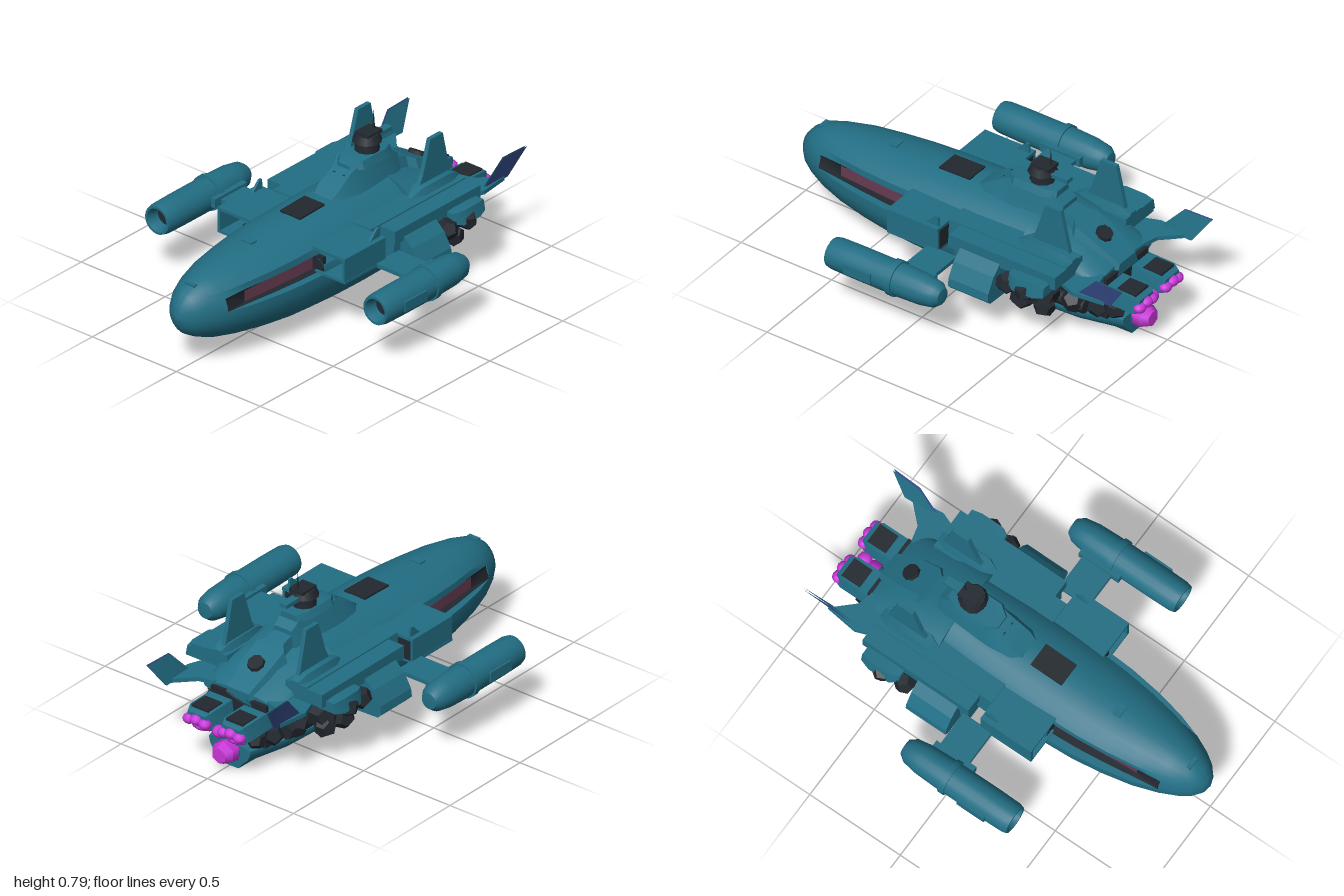
import * as THREE from 'three';
import { toCreasedNormals } from 'three/addons/utils/BufferGeometryUtils.js';

const paint = (name, color) => {
  const m = new THREE.MeshStandardMaterial({ color, side: THREE.DoubleSide });
  m.name = name;
  return m;
};

export function createModel() {
  const model = new THREE.Group();
  model.name = 'spaceship';
  const teal = paint('teal hull', 0x226e84);
  const dark = paint('dark machinery', 0x22282f);
  const magenta = paint('magenta glow', 0xc936da);
  const blue = paint('blue panel', 0x374c8b);
  const maroon = paint('maroon recess', 0x673b51);

  const add = (name, geo, mat, x = 0, y = 0, z = 0) => {
    const mesh = new THREE.Mesh(geo, mat);
    mesh.name = name;
    mesh.position.set(x, y, z);
    model.add(mesh);
    return mesh;
  };
  // box given by its limits
  const box = (name, mat, x0, x1, y0, y1, z0, z1) =>
    add(name, new THREE.BoxGeometry(Math.abs(x1 - x0), y1 - y0, z1 - z0), mat,
      (x0 + x1) / 2, (y0 + y1) / 2, (z0 + z1) / 2);
  const rod = (r0, r1, len, sides) => new THREE.CylinderGeometry(r0, r1, len, sides).rotateX(Math.PI / 2);
  const outline = (pts, s = 1) => new THREE.Shape(pts.map(([x, y]) => new THREE.Vector2(s * x, y)));
  const extrude = (shape, depth) => new THREE.ExtrudeGeometry(shape, { depth, bevelEnabled: false });

  // skin over rows of points running from front to back
  const skin = (rows, closed, skip = () => false, crease = 0.6) => {
    const n = rows[0].length, index = [];
    for (let i = 0; i < rows.length - 1; i++) {
      for (let j = 0; j < (closed ? n : n - 1); j++) {
        if (skip(i, j)) continue;
        const a = i * n + j, b = i * n + (j + 1) % n, c = a + n, d = b + n;
        index.push(a, c, b, b, c, d);
      }
    }
    const geo = new THREE.BufferGeometry();
    geo.setAttribute('position', new THREE.Float32BufferAttribute(rows.flat(2), 3));
    geo.setIndex(index);
    return toCreasedNormals(geo, crease);
  };
  const capped = (rows) => {
    const centre = (row) => {
      const c = [0, 1, 2].map((k) => row.reduce((s, p) => s + p[k], 0) / row.length);
      return row.map(() => c);
    };
    return [centre(rows[0]), ...rows, centre(rows[rows.length - 1])];
  };
  // egg-shaped section: z, half width, top, bottom, widest height
  const N = 32;
  const ring = ([z, w, top, bot, mid = 0.27]) => Array.from({ length: N }, (_, j) => {
    const a = (j + 0.5) * 2 * Math.PI / N, s = Math.sin(a);
    return [w * Math.cos(a), mid + s * (s > 0 ? top - mid : mid - bot), z];
  });
  // block whose sections change along z: z, bottom half width, top half width, bottom, top
  const block = (name, mat, sections, x = 0) => add(name, skin(capped(sections.map(
    ([z, wb, wt, y0, y1]) => [[wb, y0, z], [wt, y1, z], [-wt, y1, z], [-wb, y0, z]])), true), mat, x);
  // thin plate from a side outline in (z, y)
  const plate = (name, mat, pts, thick, x) =>
    add(name, extrude(outline(pts), thick).rotateY(-Math.PI / 2).translate(thick / 2, 0, 0), mat, x);

  // main hull with a slot left open along each side of the bow, its upper lip drawn in
  const hull = [
    [1, 0.004, 0.275, 0.265], [0.985, 0.045, 0.33, 0.215], [0.95, 0.085, 0.375, 0.175],
    [0.9, 0.118, 0.41, 0.145], [0.82, 0.155, 0.432, 0.112], [0.7, 0.195, 0.45, 0.085],
    [0.55, 0.226, 0.46, 0.06], [0.4, 0.246, 0.47, 0.042], [0.27, 0.253, 0.477, 0.034],
    [0.1, 0.257, 0.483, 0.024], [-0.1, 0.255, 0.488, 0.02], [-0.35, 0.24, 0.49, 0.018],
  ].map(ring);
  for (const row of hull.slice(5, 9)) for (const j of [2, 13]) row[j][0] *= 0.89;
  const slotAt = [0, 1, 13, 14];
  add('hull', skin(capped(hull), true, (i, j) => i >= 5 && i < 9 && slotAt.includes(j)), teal);
  const panelX = [0.15, 0.146, 0.158, 0.17, 0.178];
  for (const [j0, j1, s] of [[0, 2, 1], [15, 13, -1]]) {
    const slot = hull.slice(4, 9).map((row, i) => {
      const [p, q] = [row[j0], row[j1]], x = i ? s * panelX[i] : p[0];
      return [p, [(p[0] + x) / 2, p[1], p[2]], [x, p[1], p[2]], [i ? x : q[0], q[1] - 0.012, q[2]], q];
    });
    add('slotLedge', skin(slot, false, (i, j) => j !== 0), teal);
    add('slotWalls', skin(slot, false, (i, j) => j === 0 || (j === 2 && i > 0)), dark);
    add('slotPanel', skin(slot, false, (i, j) => j !== 2 || i === 0), maroon);
    box('slotEnd', dark, s * 0.17, s * 0.24, 0.287, 0.368, 0.25, 0.268);
  }

  // stern: upper shell, lower tray and the machinery core between them
  add('upperStern', skin(capped([
    [-0.35, 0.24, 0.49, 0.33, 0.36], [-0.62, 0.23, 0.43, 0.32, 0.35], [-0.76, 0.215, 0.35, 0.28, 0.31],
  ].map(ring)), true), teal);
  add('lowerStern', skin(capped([
    [-0.35, 0.21, 0.125, 0.015, 0.115], [-0.62, 0.19, 0.125, 0.012, 0.115], [-0.84, 0.12, 0.12, 0.012, 0.11],
  ].map(ring)), true), teal);
  box('machineryCore', dark, -0.16, 0.16, 0.115, 0.33, -0.78, -0.34);
  block('bellyPlate', teal, [[0.1, 0.06, 0.09, 0.012, 0.04], [-0.35, 0.06, 0.09, 0, 0.04], [-0.84, 0.05, 0.08, 0, 0.04]]);
  block('chinPlate', teal, [[0.7, 0.03, 0.05, 0.08, 0.11], [0.55, 0.05, 0.08, 0.055, 0.09], [0.4, 0.04, 0.07, 0.038, 0.07]]);

  // top hatch details
  const hatch = box('topWindow', dark, -0.06, 0.06, 0.479, 0.488, 0.05, 0.22);
  hatch.rotation.x = 0.03;
  box('bowHatch', teal, -0.03, 0.03, 0.462, 0.47, 0.48, 0.52);
  box('noseSensor', teal, -0.03, 0.03, 0.4, 0.412, 0.89, 0.91);

  // command tower
  block('towerBase', teal, [
    [0.0, 0.06, 0.05, 0.46, 0.485], [-0.04, 0.09, 0.06, 0.46, 0.51], [-0.14, 0.1, 0.055, 0.46, 0.57],
    [-0.2, 0.1, 0.06, 0.46, 0.585], [-0.4, 0.09, 0.055, 0.46, 0.585], [-0.46, 0.07, 0.05, 0.46, 0.54]]);
  block('towerCap', teal, [[-0.15, 0.04, 0.03, 0.57, 0.59], [-0.2, 0.08, 0.065, 0.57, 0.605],
    [-0.36, 0.08, 0.065, 0.57, 0.605], [-0.42, 0.05, 0.04, 0.57, 0.6]]);
  block('aftDeck', teal, [[-0.42, 0.06, 0.045, 0.44, 0.53], [-0.52, 0.07, 0.05, 0.42, 0.5],
    [-0.55, 0.11, 0.08, 0.41, 0.485], [-0.64, 0.11, 0.08, 0.37, 0.445], [-0.78, 0.08, 0.06, 0.3, 0.36]]);
  add('aftHatch', new THREE.CylinderGeometry(0.04, 0.045, 0.03, 8), dark, 0, 0.44, -0.65).rotation.x = -0.5;
  add('turretNeck', new THREE.CylinderGeometry(0.055, 0.06, 0.06, 10), dark, 0, 0.625, -0.31);
  add('turretHead', new THREE.CylinderGeometry(0.055, 0.07, 0.035, 10), dark, 0, 0.668, -0.31);
  box('turretTop', dark, -0.04, 0.04, 0.68, 0.695, -0.37, -0.27);
  box('turretArm', teal, -0.02, 0.02, 0.645, 0.665, -0.46, -0.36);
  add('antenna', new THREE.ConeGeometry(0.007, 0.1, 6), dark, 0, 0.74, -0.355);
  for (const x of [-0.028, 0.028]) add('towerPort', rod(0.014, 0.014, 0.01, 8), dark, x, 0.545, -0.12);

  // central thruster
  const ball = (name, x, y, z, rx, ry, rz) =>
    add(name, new THREE.IcosahedronGeometry(1, 1).scale(rx, ry, rz), magenta, x, y, z);
  add('thrusterCollar', rod(0.065, 0.06, 0.05, 8), teal, 0, 0.08, -0.82);
  add('mainGlow', rod(0.06, 0.06, 0.05, 6).scale(1.05, 0.95, 1), magenta, 0, 0.083, -0.86);
  add('mainGlowEnd', rod(0.06, 0.04, 0.035, 6).scale(1.05, 0.95, 1), magenta, 0, 0.083, -0.9025);
  ball('middleGlow', 0, 0.205, -0.91, 0.04, 0.03, 0.035);

  for (const s of [1, -1]) {
    // open-fronted hangar
    box('hangarRoof', teal, s * 0.16, s * 0.38, 0.398, 0.413, 0, 0.28);
    box('hangarFloor', teal, s * 0.2, s * 0.38, 0.285, 0.297, 0, 0.28);
    box('hangarWall', teal, s * 0.365, s * 0.378, 0.29, 0.405, 0, 0.28);
    box('hangarInside', dark, s * 0.2, s * 0.364, 0.298, 0.397, 0, 0.12);
    plate('hangarAerial', teal, [[0.08, 0.41], [0.03, 0.46], [0.015, 0.46], [0.01, 0.41]], 0.012, s * 0.35);

    // shoulder slab
    block('shoulderRoot', teal, [[0, 0.07, 0.06, 0.28, 0.42], [-0.65, 0.07, 0.06, 0.32, 0.42]], s * 0.23);
    box('shoulderSlab', teal, s * 0.2, s * 0.38, 0.345, 0.413, -0.65, -0.065);

    // side pods with sloping outer faces
    const pod = [[0.26, 0.2], [0.3, 0.185], [0.455, 0.19], [0.475, 0.21], [0.47, 0.25], [0.43, 0.32], [0.38, 0.365], [0.26, 0.365]];
    add('sidePod', extrude(outline(pod, s), 0.22), teal, 0, 0, -0.345);
    box('podMount', teal, s * 0.2, s * 0.36, 0.21, 0.35, -0.34, -0.08);
    block('aftPod', teal, [[-0.42, 0.04, 0.03, 0.32, 0.37], [-0.46, 0.065, 0.05, 0.31, 0.375],
      [-0.57, 0.065, 0.05, 0.31, 0.375], [-0.62, 0.05, 0.04, 0.32, 0.37]], s * 0.385);

    // lumpy machinery below the shoulders
    const lumps = [[0.31, 0.28, -0.41, 0.08], [0.31, 0.18, -0.42, 0.06], [0.4, 0.3, -0.4, 0.055], [0.42, 0.31, -0.51, 0.05],
      [0.28, 0.23, -0.52, 0.075], [0.31, 0.18, -0.54, 0.055], [0.22, 0.2, -0.64, 0.06],
      [0.16, 0.17, -0.73, 0.055], [0.13, 0.17, -0.81, 0.05]];
    for (const [x, y, z, r] of lumps) {
      add('engineBlock', new THREE.DodecahedronGeometry(r), dark, s * x, y, z).rotation.set(0.3, s * z * 9, 0);
    }
    add('enginePipe', rod(0.035, 0.035, 0.36, 8), dark, s * 0.21, 0.18, -0.52);

    // dorsal fin on its hump
    block('finHump', teal, [[-0.34, 0.02, 0.01, 0.4, 0.42], [-0.4, 0.048, 0.03, 0.4, 0.455],
      [-0.6, 0.048, 0.03, 0.4, 0.455], [-0.65, 0.03, 0.02, 0.4, 0.43]], s * 0.225);
    plate('dorsalFin', teal, [[-0.4, 0.43], [-0.435, 0.5], [-0.485, 0.66], [-0.57, 0.66], [-0.625, 0.42]], 0.022, s * 0.215);

    // tail plane with an upswept tip, blue on its outer face
    const tail = outline([[0.15, 0.62], [0.31, 0.63], [0.345, 0.72], [0.325, 0.88], [0.23, 0.78], [0.15, 0.76]], s);
    add('tailPlane', extrude(tail, 0.02).rotateX(-Math.PI / 2), teal, 0, 0.325, 0);
    const tip = (dx) => skin([
      [[s * (0.325 + dx), 0.33, -0.73], [s * (0.348 + dx), 0.46, -0.85]],
      [[s * (0.318 + dx), 0.33, -0.91], [s * (0.354 + dx), 0.46, -1]]], false);
    add('tailTipInner', tip(-0.009), teal);
    add('tailTipOuter', tip(0), blue);

    // upper engines with chamfered housings and glowing ends
    block('engineHousing', teal, [[-0.72, 0.077, 0.065, 0.22, 0.3], [-0.92, 0.077, 0.065, 0.215, 0.295],
      [-0.955, 0.065, 0.05, 0.22, 0.28]], s * 0.1);
    box('engineVent', dark, s * 0.05, s * 0.15, 0.285, 0.302, -0.93, -0.83);
    for (const [x, y, z] of [[0.055, 0.24, -0.95], [0.1, 0.25, -0.955], [0.145, 0.24, -0.95]]) {
      ball('engineGlow', s * x, y, z, 0.032, 0.026, 0.03);
    }
    ball('lowerGlow', s * 0.1, 0.205, -0.905, 0.06, 0.024, 0.045);

    // outrigger nacelle: hollow intake, ring and rounded tail
    box('strut', teal, s * 0.37, s * 0.6, 0.282, 0.302, -0.1, 0.06);
    box('strutFairing', teal, s * 0.55, s * 0.6, 0.27, 0.315, -0.12, 0.1);
    const profile = [[0.044, 0.3], [0.046, 0.35], [0.058, 0.385], [0.07, 0.385], [0.076, 0.36], [0.078, 0.25], [0.078, -0.01],
      [0.074, -0.12], [0.062, -0.19], [0.04, -0.22], [0, -0.225]].reverse();
    const lathe = new THREE.LatheGeometry(profile.map((p) => new THREE.Vector2(...p)), 20);
    add('nacelle', toCreasedNormals(lathe.rotateX(Math.PI / 2), 0.6), teal, s * 0.65, 0.29, 0);
    add('nacelleRing', rod(0.086, 0.086, 0.03, 20), teal, s * 0.65, 0.29, 0.03);
    add('intake', rod(0.045, 0.045, 0.01, 20), dark, s * 0.65, 0.29, 0.32);
    box('nacelleRail', teal, s * 0.722, s * 0.733, 0.265, 0.315, 0.12, 0.27);
  }
  return model;
}
